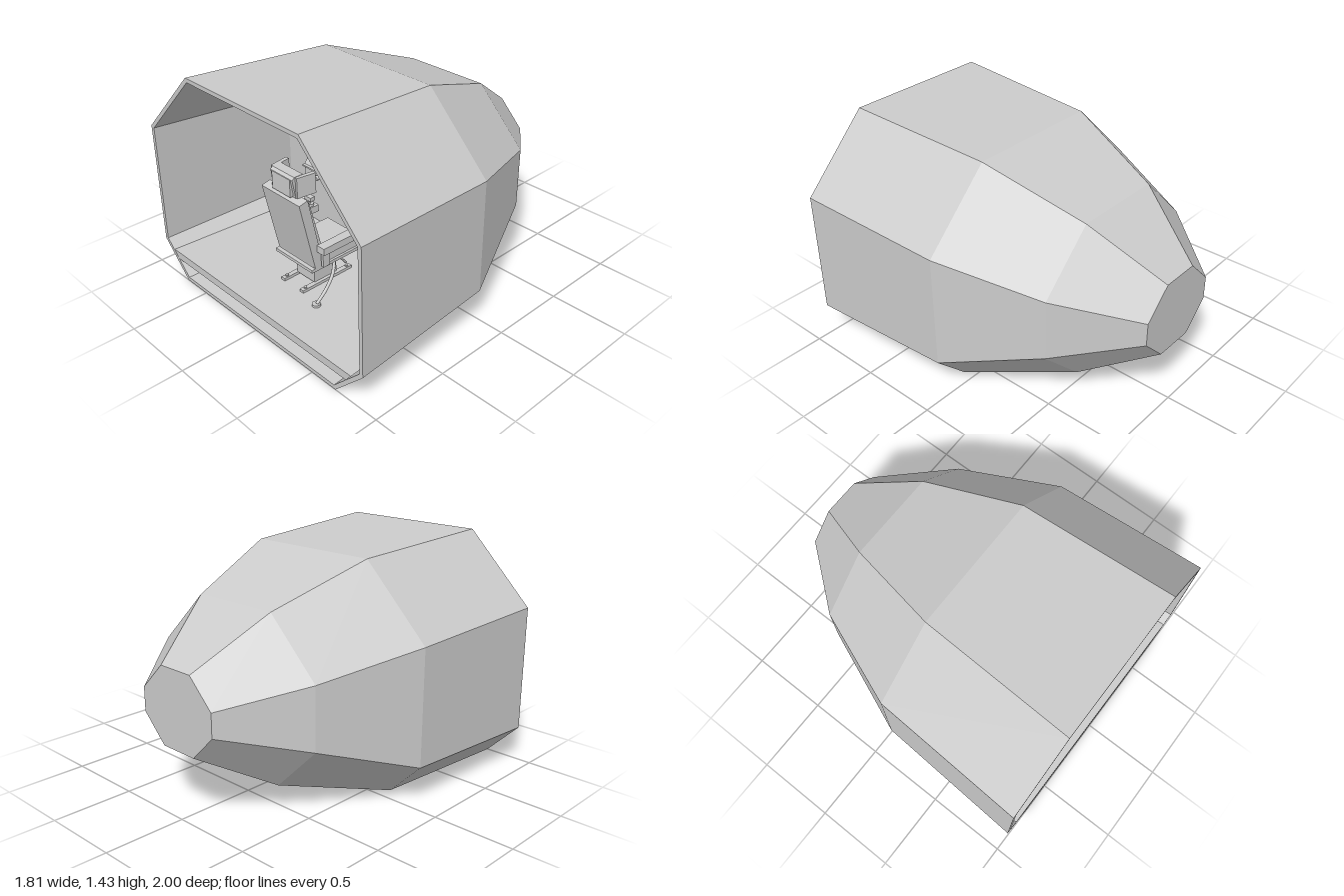
import * as THREE from 'three';

const material = new THREE.MeshStandardMaterial({ color: 0xcccccc, flatShading: true });
const smooth = new THREE.MeshStandardMaterial({ color: 0xcccccc });

function add(parent, name, geometry, x = 0, y = 0, z = 0, mat = material) {
  const mesh = new THREE.Mesh(geometry, mat);
  mesh.name = name;
  mesh.position.set(x, y, z);
  parent.add(mesh);
  return mesh;
}
const box = (w, h, d) => new THREE.BoxGeometry(w, h, d);
const cyl = (r, h, n = 12) => new THREE.CylinderGeometry(r, r, h, n);

// Skins a sequence of equal-length rings (counter-clockwise seen from +z) and caps both ends
function loft(rings) {
  const pos = [];
  const tri = (...pts) => pts.forEach((p) => pos.push(...p));
  const n = rings[0].length;
  for (let s = 0; s + 1 < rings.length; s++) {
    const f = rings[s], b = rings[s + 1];
    for (let i = 0; i < n; i++) {
      const j = (i + 1) % n;
      tri(f[i], b[i], b[j]);
      tri(f[i], b[j], f[j]);
    }
  }
  const first = rings[0], last = rings[rings.length - 1];
  for (let i = 1; i + 1 < n; i++) {
    tri(first[0], first[i], first[i + 1]);
    tri(last[0], last[i + 1], last[i]);
  }
  const g = new THREE.BufferGeometry();
  g.setAttribute('position', new THREE.Float32BufferAttribute(pos, 3));
  g.computeVertexNormals();
  return g;
}

// Extrudes a [z, y] side profile across x, centred
function sideProfile(points, width) {
  const shape = new THREE.Shape(points.map(([z, y]) => new THREE.Vector2(z, y)));
  return new THREE.ExtrudeGeometry(shape, { depth: width, bevelEnabled: false })
    .rotateY(-Math.PI / 2).translate(width / 2, 0, 0);
}

function buildHull(root) {
  // z, top half width, top y, side half width, side upper y, side lower y, bottom half width, bottom y
  const sections = [
    [1, 0.475, 1.43, 0.905, 1.0, 0.215, 0.69, 0],
    [0.04, 0.43, 1.38, 0.855, 0.955, 0.24, 0.645, 0.03],
    [-0.57, 0.285, 1.165, 0.615, 0.835, 0.455, 0.33, 0.17],
    [-1, 0.12, 0.88, 0.285, 0.715, 0.57, 0.125, 0.41],
  ];
  const ring = ([z, tw, ty, sw, su, sl, bw, by], t) => {
    const c = t * 0.414, zz = z < -0.9 ? z + t : z;
    const right = [[bw - c, by + t], [sw - t, sl + c], [sw - t, su - c], [tw - c, ty - t]];
    const left = right.map(([x, y]) => [-x, y]).reverse();
    return [...right, ...left].map(([x, y]) => [x, y, zz]);
  };
  const inner = sections.map((s) => ring(s, 0.025)).reverse();
  const outer = sections.map((s) => ring(s, 0));
  add(root, 'hull', loft([...inner, ...outer]));

  const slab = (w, z) => [[-w + 0.04, 0.12, z], [w - 0.04, 0.12, z], [w, 0.17, z], [-w, 0.17, z]];
  add(root, 'floor', loft([slab(0.815, 1), slab(0.75, 0.04), slab(0.45, -0.35)]));
}

function buildConsole(root) {
  const console_ = new THREE.Group();
  console_.name = 'console';
  root.add(console_);
  add(console_, 'consoleBody', sideProfile(
    [[0.13, 0.17], [0.13, 0.535], [0.15, 0.54], [0.15, 0.55], [0.13, 0.55], [0, 0.74], [-0.04, 0.74], [-0.04, 0.17]], 1.14));

  // Sloped instrument panel with paired dials
  const panel = new THREE.Group();
  panel.name = 'instrumentPanel';
  panel.position.set(0, 0.645, 0.065);
  panel.rotation.x = -Math.atan2(0.13, 0.19);
  console_.add(panel);
  for (const x of [-0.455, -0.312, 0.312, 0.455])
    for (const v of [0.038, -0.052])
      add(panel, 'dialRing', new THREE.TorusGeometry(0.056, 0.004, 6, 32), x, v, 0.004, smooth);
  for (const x of [-0.215, 0.215])
    add(panel, 'smallDialRing', new THREE.TorusGeometry(0.025, 0.004, 6, 24), x, -0.03, 0.004, smooth);

  // Central housing with the attitude globe
  add(console_, 'centreHousing', sideProfile(
    [[0.14, 0.55], [0.08, 0.78], [-0.02, 0.78], [-0.02, 0.55]], 0.28));
  add(console_, 'attitudeGlobe', new THREE.SphereGeometry(0.075, 20, 14), 0, 0.65, 0.13, smooth);
  const band = add(console_, 'globeBand', new THREE.TorusGeometry(0.075, 0.003, 6, 32), 0, 0.65, 0.13, smooth);
  band.rotation.x = Math.PI / 2;

  // Row of knobs under the lip
  for (let i = -3; i <= 3; i++)
    add(console_, 'knob', cyl(0.016, 0.035).rotateX(Math.PI / 2), i * 0.143, 0.505, 0.145);
}

function buildSeat(root) {
  const seat = new THREE.Group();
  seat.name = 'seat';
  root.add(seat);

  // Base
  add(seat, 'pedestal', box(0.16, 0.15, 0.17), 0, 0.26, 0.53);
  for (const x of [-0.085, 0.085]) {
    add(seat, 'floorRail', box(0.03, 0.018, 0.38), x, 0.179, 0.53);
    for (const z of [0.37, 0.69]) add(seat, 'railBolt', cyl(0.01, 0.012, 8), x, 0.191, z);
  }

  // Cushion, reclined back and headrest
  add(seat, 'seatPan', box(0.33, 0.02, 0.4), 0, 0.342, 0.5);
  add(seat, 'cushion', box(0.3, 0.05, 0.37), 0, 0.375, 0.49);
  add(seat, 'backrest', sideProfile([[0.61, 0.34], [0.67, 0.335], [0.77, 0.805], [0.71, 0.818]], 0.33));
  add(seat, 'backPad', sideProfile([[0.58, 0.39], [0.63, 0.39], [0.72, 0.79], [0.68, 0.79]], 0.27));
  add(seat, 'headrest', sideProfile([[0.66, 0.82], [0.735, 0.81], [0.755, 0.93], [0.74, 0.945], [0.68, 0.945]], 0.19));
  add(seat, 'headrestPad', box(0.155, 0.11, 0.02), 0, 0.875, 0.75);
  for (const s of [-1, 1]) {
    const wing = add(seat, 'headrestWing', box(0.025, 0.125, 0.12), s * 0.108, 0.88, 0.675);
    wing.rotation.y = -s * 0.15;
  }

  // Armrests with their brackets
  for (const s of [-1, 1]) {
    add(seat, 'armrest', box(0.06, 0.045, 0.3), s * 0.197, 0.485, 0.51);
    add(seat, 'armBracket', box(0.018, 0.1, 0.05), s * 0.192, 0.415, 0.62);
    add(seat, 'armHinge', cyl(0.018, 0.05).rotateZ(Math.PI / 2), s * 0.178, 0.47, 0.64);
    add(seat, 'stickBase', cyl(0.02, 0.015), s * 0.195, 0.515, 0.4);
  }
  add(seat, 'throttleStem', cyl(0.008, 0.05, 8), -0.2, 0.535, 0.4);
  add(seat, 'throttleGrip', box(0.055, 0.025, 0.035), -0.2, 0.558, 0.4);
  add(seat, 'controlStem', cyl(0.009, 0.07, 8), 0.195, 0.545, 0.4);
  const grip = add(seat, 'controlGrip', new THREE.CylinderGeometry(0.017, 0.012, 0.08, 10), 0.195, 0.595, 0.4);
  grip.rotation.x = -0.12;
  add(seat, 'gripHead', box(0.03, 0.018, 0.035), 0.195, 0.628, 0.393);

  // Bent side lever with its foot, and the adjustment handle
  const path = new THREE.CatmullRomCurve3([
    [0.15, 0.335, 0.52], [0.205, 0.3, 0.58], [0.24, 0.25, 0.66], [0.245, 0.185, 0.74],
  ].map((p) => new THREE.Vector3(...p)));
  add(seat, 'sideLever', new THREE.TubeGeometry(path, 10, 0.01, 8), 0, 0, 0, smooth);
  add(seat, 'leverFoot', cyl(0.026, 0.015, 14), 0.24, 0.178, 0.74);
  const handle = add(seat, 'adjustHandle', cyl(0.007, 0.055, 8), 0.115, 0.27, 0.42);
  handle.rotation.z = Math.PI / 2 - 0.2;
}

export function createModel() {
  const root = new THREE.Group();
  root.name = 'cockpitPod';
  buildHull(root);
  buildConsole(root);
  buildSeat(root);
  return root;
}
